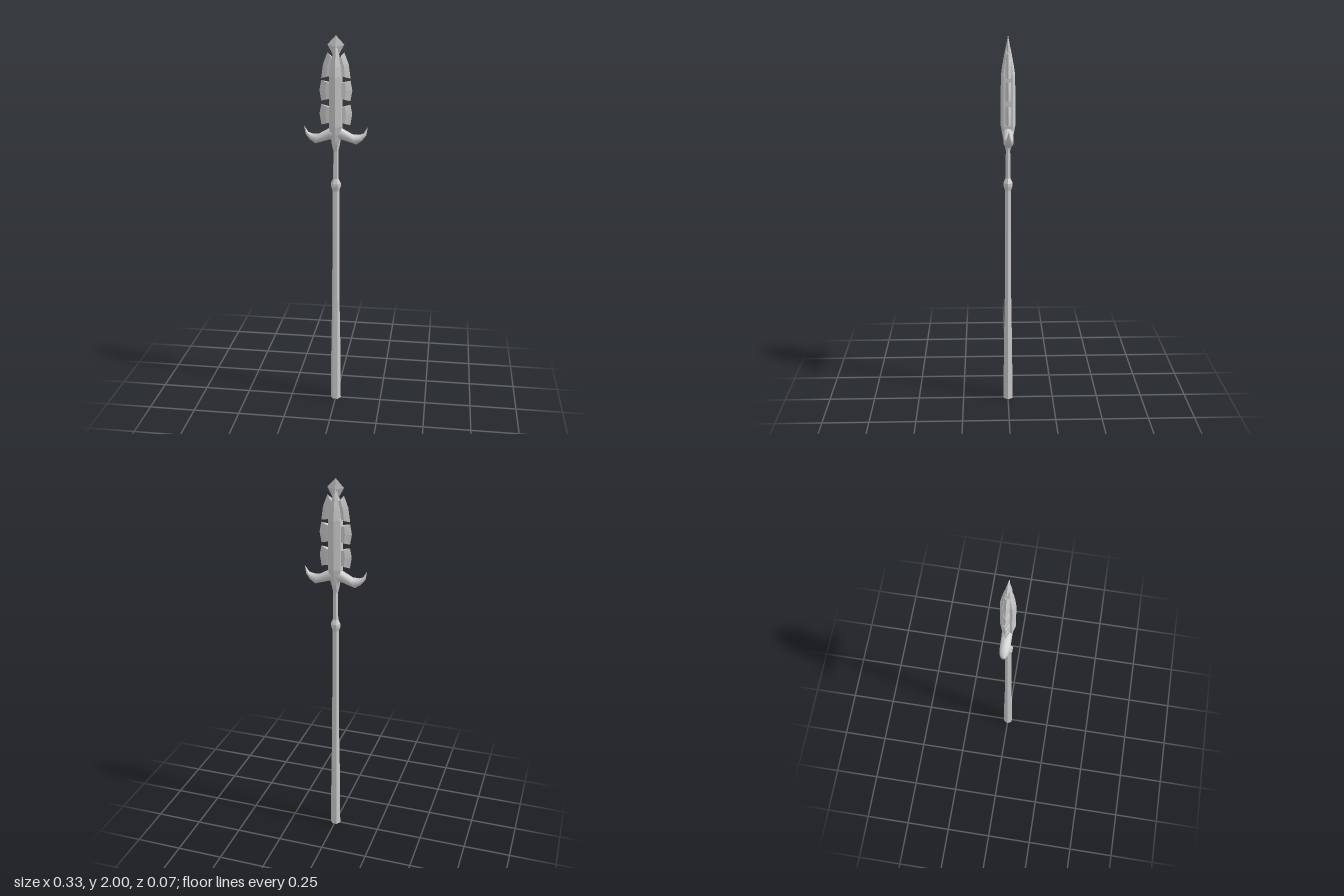
import * as THREE from 'three';
import { ConvexGeometry } from 'three/addons/geometries/ConvexGeometry.js';

const flat = new THREE.MeshStandardMaterial({ color: 0xcccccc, flatShading: true });
const smooth = new THREE.MeshStandardMaterial({ color: 0xcccccc });

// Skin a list of equal-length rings, each counter-clockwise about the direction of travel
function loft(rings) {
  const n = rings[0].length, last = (rings.length - 1) * n, index = [];
  for (let i = 0; i < last; i += n) {
    for (let j = 0; j < n; j++) {
      const k = (j + 1) % n;
      index.push(i + j, i + k, i + n + k, i + j, i + n + k, i + n + j);
    }
  }
  for (let j = 1; j < n - 1; j++) {
    index.push(0, j + 1, j, last, last + j, last + j + 1);
  }
  const geometry = new THREE.BufferGeometry();
  geometry.setAttribute('position', new THREE.Float32BufferAttribute(rings.flat(2), 3));
  geometry.setIndex(index);
  geometry.computeVertexNormals();
  return geometry;
}

// Tooth: thick root, bevelled to a knife edge; points run low, middle, high
function toothGeometry(root, edge) {
  const ring = (t, z) => {
    const p = root.map((r, i) => [
      THREE.MathUtils.lerp(r[0], edge[i][0], t),
      THREE.MathUtils.lerp(r[1], edge[i][1], t),
    ]);
    return [
      ...[2, 1, 0].map(i => [...p[i], z]),
      ...[0, 1, 2].map(i => [...p[i], -z]),
    ];
  };
  return loft([ring(0, 0.013), ring(0.5, 0.013), ring(1, 0)]);
}

export function createModel() {
  const model = new THREE.Group();
  const add = (name, geometry, material = flat) => {
    const mesh = new THREE.Mesh(geometry, material);
    mesh.name = name;
    model.add(mesh);
    return mesh;
  };

  // Six-sided shaft with a collar and a flared socket under the guard
  const profile = [
    [0, 0], [0.028, 0], [0.027, 0.2], [0.024, 0.4], [0.02, 0.6], [0.018, 1.21],
    [0.026, 1.235], [0.026, 1.25], [0.014, 1.275], [0.013, 1.42],
    [0.021, 1.455], [0.026, 1.49], [0, 1.49],
  ].map(p => new THREE.Vector2(...p));
  add('shaft', new THREE.LatheGeometry(profile, 6, Math.PI / 2));

  // Curved guard: each section spans a top point and a bottom point
  const sections = [
    { top: [0, 1.55], bottom: [0, 1.475], z: 0.026 },
    { top: [0.03, 1.541], bottom: [0.03, 1.48], z: 0.026 },
    { top: [0.085, 1.51], bottom: [0.105, 1.457], z: 0.026 },
    { top: [0.118, 1.508], bottom: [0.134, 1.477], z: 0.021 },
    { top: [0.142, 1.516], bottom: [0.156, 1.506], z: 0.011 },
    { top: [0.163, 1.55], bottom: [0.163, 1.55], z: 0 },
  ];
  const guardRing = ({ top, bottom, z }, side) => Array.from({ length: 10 }, (_, i) => {
    const a = i / 10 * Math.PI * 2, t = (1 - Math.cos(a)) / 2;
    return [
      side * THREE.MathUtils.lerp(top[0], bottom[0], t),
      THREE.MathUtils.lerp(top[1], bottom[1], t),
      z * Math.sin(a),
    ];
  });
  add('guard', loft([
    ...sections.slice(1).reverse().map(s => guardRing(s, -1)),
    ...sections.map(s => guardRing(s, 1)),
  ]), smooth);

  // Ridged spine: [height, half width, shoulder depth, ridge depth]
  const spine = [
    [1.46, 0.018, 0.012, 0.02], [1.51, 0.027, 0.02, 0.03], [1.55, 0.032, 0.024, 0.037],
    [1.8, 0.031, 0.024, 0.036], [1.85, 0.026, 0.018, 0.029],
    [1.92, 0.012, 0.009, 0.016], [1.985, 0, 0, 0],
  ];
  add('bladeSpine', loft(spine.map(([y, x, s, r]) => [
    [0, y, r], [x, y, s], [x, y, -s], [0, y, -r], [-x, y, -s], [-x, y, s],
  ])));

  // Three teeth along each edge
  const teeth = [
    [[[0.02, 1.572], [0.02, 1.61], [0.02, 1.642]], [[0.074, 1.556], [0.083, 1.613], [0.074, 1.66]]],
    [[[0.02, 1.692], [0.02, 1.73], [0.02, 1.765]], [[0.074, 1.678], [0.083, 1.73], [0.074, 1.78]]],
    [[[0.02, 1.805], [0.018, 1.85], [0.01, 1.882]], [[0.074, 1.79], [0.064, 1.86], [0.042, 1.918]]],
  ];
  for (const [root, edge] of teeth) {
    const geometry = toothGeometry(root, edge);
    add('leftTooth', geometry);
    add('rightTooth', geometry).rotation.y = Math.PI;
  }

  // Diamond point
  const corners = [
    [0, 2, 0], [0.042, 1.955, 0], [-0.042, 1.955, 0], [0.014, 1.905, 0], [-0.014, 1.905, 0],
    [0, 1.945, 0.01], [0, 1.945, -0.01],
  ];
  add('bladeTip', new ConvexGeometry(corners.map(p => new THREE.Vector3(...p))));

  return model;
}
